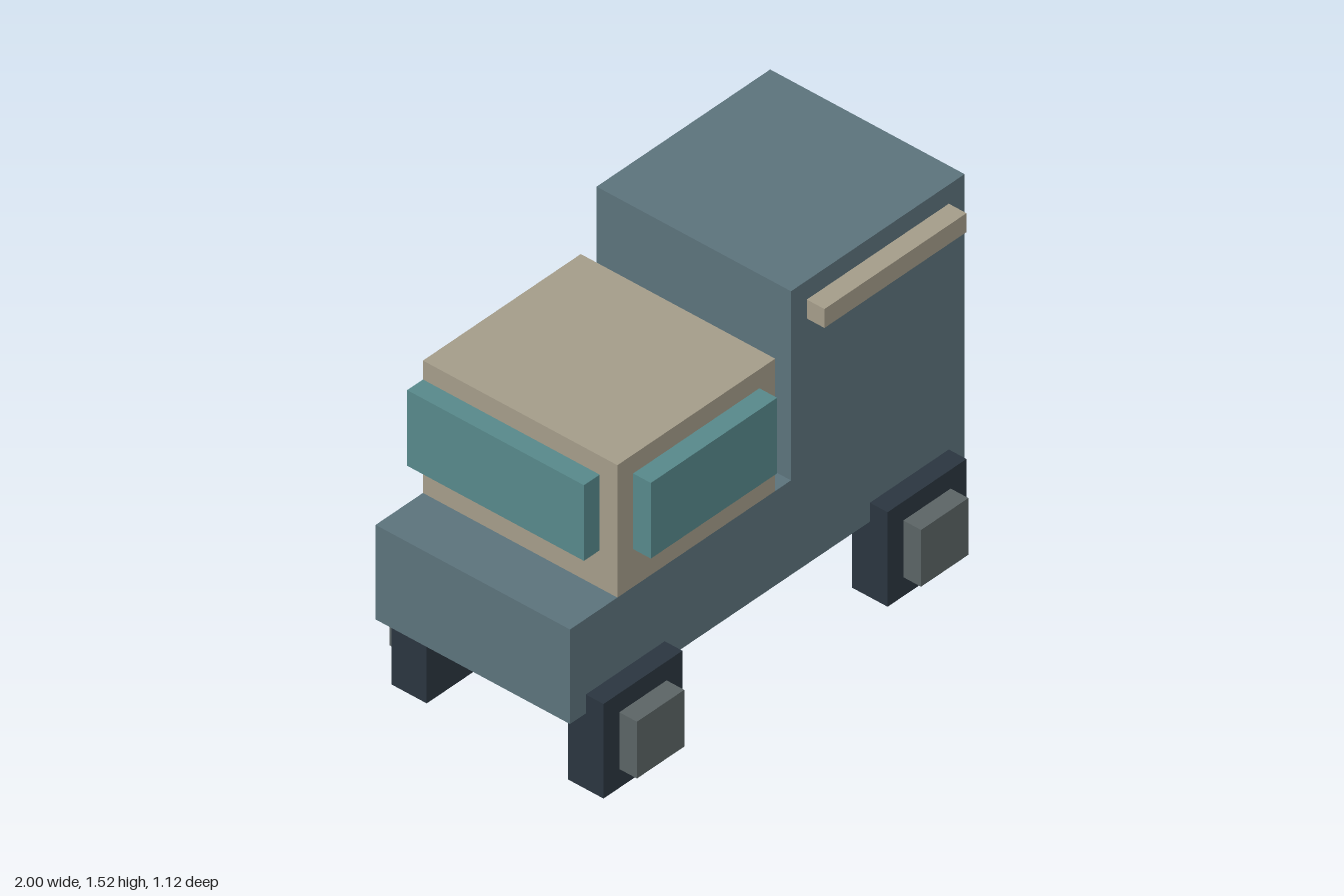
import * as THREE from 'three';

const material = (color) => new THREE.MeshStandardMaterial({ color, flatShading: true });

export function createModel() {
  const model = new THREE.Group();
  model.name = 'truck';

  const bodyPaint = material(0x5d747d);
  const cream = material(0xa69e8b);
  const glass = material(0x588a8c);
  const rubber = material(0x2b3640);
  const metal = material(0x5c6566);

  // Box given by its extent along each axis
  const addBox = (name, [x0, x1], [y0, y1], [z0, z1], mat, parent = model) => {
    const mesh = new THREE.Mesh(new THREE.BoxGeometry(x1 - x0, y1 - y0, z1 - z0), mat);
    mesh.position.set((x0 + x1) / 2, (y0 + y1) / 2, (z0 + z1) / 2);
    mesh.name = name;
    parent.add(mesh);
    return mesh;
  };

  // Chassis and tall cargo box as one L-shaped silhouette
  const outline = new THREE.Shape([
    [-1, 0.32], [1, 0.32], [1, 1.52], [0.12, 1.52], [0.12, 0.72], [-1, 0.72],
  ].map(([x, y]) => new THREE.Vector2(x, y)));
  const body = new THREE.Mesh(
    new THREE.ExtrudeGeometry(outline, { depth: 0.88, bevelEnabled: false }), bodyPaint);
  body.position.z = -0.48;
  body.name = 'chassisAndCargoBox';
  model.add(body);

  // Cab with its windows, and the trim strip on the cargo box
  addBox('cab', [-0.76, 0.04], [0.72, 1.28], [-0.48, 0.4], cream);
  addBox('windshield', [-0.84, -0.76], [0.88, 1.2], [-0.48, 0.32], glass);
  addBox('sideWindow', [-0.68, -0.04], [0.88, 1.2], [0.4, 0.48], glass);
  addBox('trimStrip', [0.2, 0.92], [1.36, 1.44], [0.4, 0.48], cream);

  // Four square wheels with hubs; the rear pair sits just inside the body face
  for (const x of [-0.72, 0.72]) {
    for (const side of [-1, 1]) {
      const wheel = new THREE.Group();
      wheel.name = 'wheel';
      const tyreZ = side > 0 ? [0.32, 0.48] : [-0.479, -0.32];
      const hubZ = side > 0 ? [0.48, 0.56] : [-0.56, -0.479];
      addBox('tyre', [x - 0.2, x + 0.2], [0, 0.4], tyreZ, rubber, wheel);
      addBox('hub', [x - 0.12, x + 0.12], [0.08, 0.32], hubZ, metal, wheel);
      model.add(wheel);
    }
  }

  return model;
}
